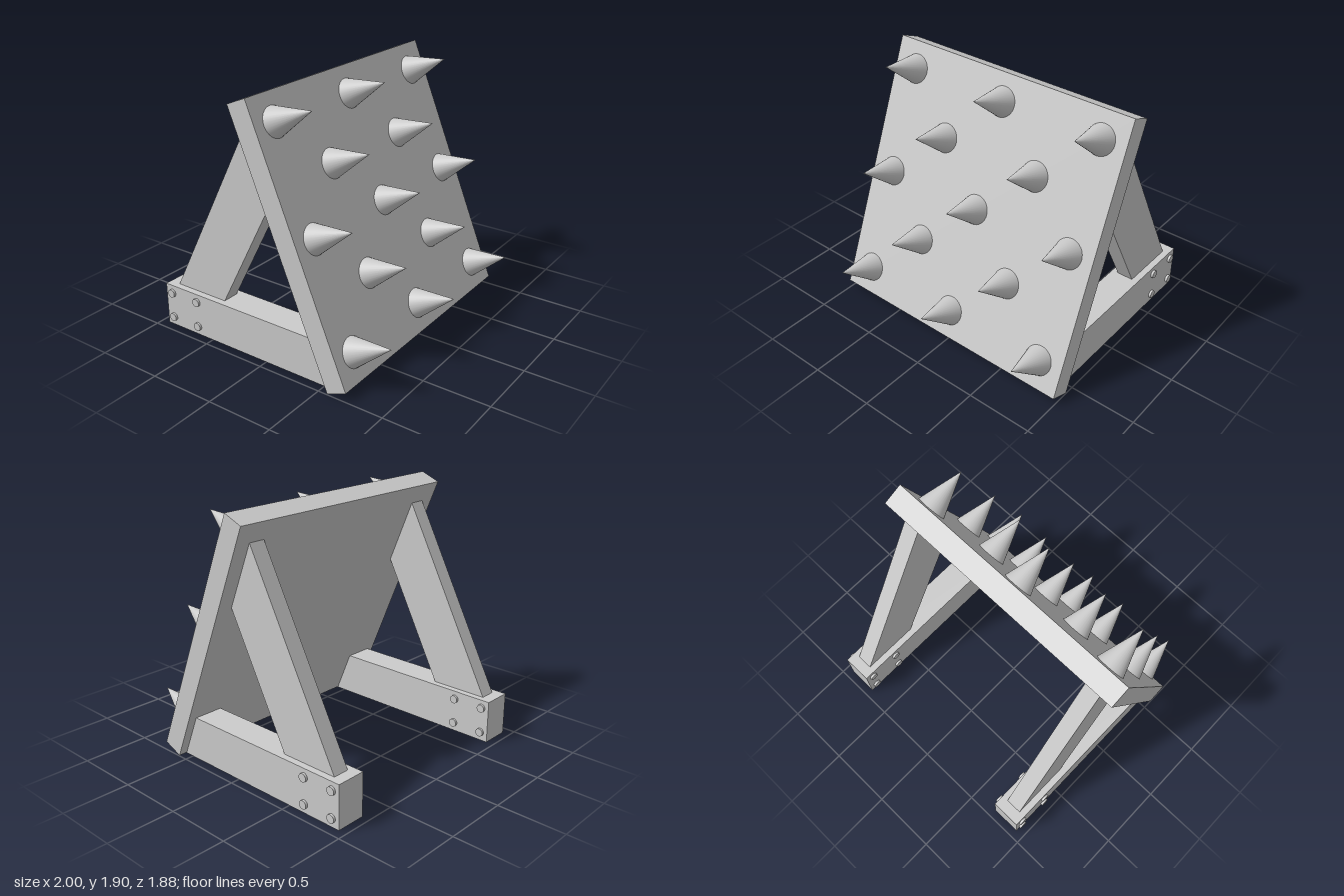
import * as THREE from 'three';

const material = new THREE.MeshStandardMaterial({ color: 0xcccccc });

function addMesh(parent, name, geometry, x = 0, y = 0, z = 0) {
  const mesh = new THREE.Mesh(geometry, material);
  mesh.name = name;
  mesh.position.set(x, y, z);
  parent.add(mesh);
  return mesh;
}

// Timber with a side profile given as [z, y] points, centred on x = 0
function timber(profile, width) {
  const shape = new THREE.Shape(profile.map(([z, y]) => new THREE.Vector2(z, y)));
  return new THREE.ExtrudeGeometry(shape, { depth: width, bevelEnabled: false })
    .translate(0, 0, -width / 2)
    .rotateY(-Math.PI / 2);
}

export function createModel() {
  const model = new THREE.Group();
  model.name = 'spikedBarricade';

  // Leaning board with its spikes
  const thickness = 0.16;
  const panel = new THREE.Group();
  panel.name = 'spikedPanel';
  panel.position.set(0, 0.95, 0.2675);
  panel.rotation.x = -Math.PI / 8;
  model.add(panel);
  addMesh(panel, 'board', new THREE.BoxGeometry(2, 1.98, thickness));

  // Five staggered rows, alternating three and two spikes
  const spikeGeometry = new THREE.ConeGeometry(0.108, 0.32, 32).rotateX(Math.PI / 2);
  for (let row = -2; row <= 2; row++) {
    const columns = row % 2 === 0 ? [-0.806, 0, 0.806] : [-0.403, 0.403];
    for (const x of columns) {
      addMesh(panel, 'spike', spikeGeometry, x, row * 0.395, thickness / 2 + 0.16);
    }
  }

  // Two support frames: floor beam, diagonal brace and through bolts
  const beamGeometry = timber(
    [[-0.94, 0], [0.605, 0], [0.605, 0.015], [0.5, 0.325], [-0.94, 0.325]], 0.225);
  const braceGeometry = timber(
    [[-0.855, 0.325], [-0.41, 0.325], [0.07, 1.23], [-0.128, 1.7]], 0.125);
  const boltGeometry = new THREE.CylinderGeometry(0.031, 0.031, 0.26, 24).rotateZ(Math.PI / 2);
  for (const side of [-1, 1]) {
    const frame = new THREE.Group();
    frame.name = side > 0 ? 'leftSupport' : 'rightSupport';
    frame.position.x = side * 0.82;
    model.add(frame);
    addMesh(frame, 'floorBeam', beamGeometry);
    addMesh(frame, 'diagonalBrace', braceGeometry);
    for (const z of [-0.88, -0.637]) {
      for (const y of [0.066, 0.263]) addMesh(frame, 'bolt', boltGeometry, 0, y, z);
    }
  }
  return model;
}
